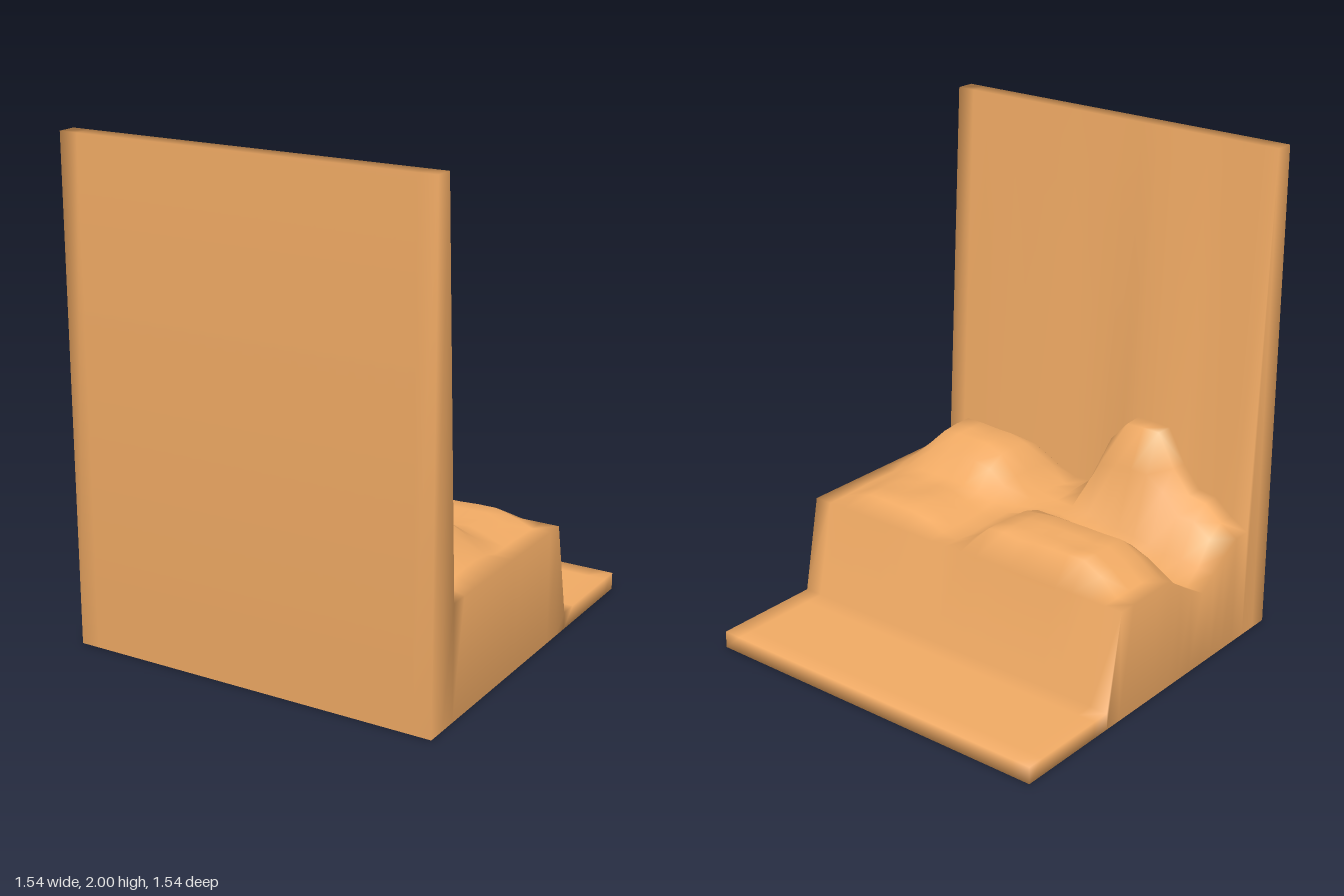
import * as THREE from 'three';
import { mergeVertices } from 'three/addons/utils/BufferGeometryUtils.js';

const SIZE = 1.54, CELLS = 20;
const PLATE = 0.07, GROUND = 0.46, WALL = 2;

// Flat-topped hills: centre, top radii, height and width of the slope
const hills = [
  { x: -0.33, z: -0.03, rx: 0.24, rz: 0.14, top: 0.565, slope: 0.12 },
  { x: 0.40, z: 0.385, rx: 0.14, rz: 0.10, top: 0.65, slope: 0.19 },
  { x: -0.30, z: 0.60, rx: 0.11, rz: 0.08, top: 0.81, slope: 0.14 },
  { x: 0.42, z: 0.00, rx: 0.13, rz: 0.14, top: 0.52, slope: 0.16 },
  { x: -0.52, z: 0.58, rx: 0.08, rz: 0.06, top: 0.58, slope: 0.15 },
];

// Height of the terrain shelf between the wall and the plate
function terrain(x, z) {
  // shallow valley between the hills, opening towards -x
  const across = 1 - Math.min(1, Math.abs(z - 0.30) / 0.22);
  const along = THREE.MathUtils.smoothstep(-x, -0.05, 0.6);
  let h = GROUND - 0.15 * across * along;
  for (const b of hills) {
    const d = Math.hypot(
      Math.max(0, Math.abs(x - b.x) - b.rx),
      Math.max(0, Math.abs(z - b.z) - b.rz));
    const k = Math.max(0, 1 - d / b.slope);
    h = Math.max(h, h + (b.top - h) * k);
  }
  // gentle roughness
  const rough = 0.012 * Math.sin(x * 17 + z * 5) * Math.sin(z * 15 - x * 4);
  const edge = Math.min(1, (0.77 - Math.abs(x)) / 0.15);
  return h + Math.min(0, rough) * edge;
}

// Full profile along z: wall, terrain shelf, low plate
function height(x, z) {
  if (z > 0.66) return WALL;
  if (z < -0.27) return PLATE;
  if (z < -0.2) return GROUND;
  return terrain(x, z);
}

export function createModel() {
  const group = new THREE.Group();
  group.name = 'terrainStand';

  // A gridded slab whose upper vertices are lifted to the height profile
  let geo = new THREE.BoxGeometry(SIZE, 1, SIZE, CELLS, 1, CELLS);
  const p = geo.attributes.position;
  for (let i = 0; i < p.count; i++) {
    p.setY(i, p.getY(i) > 0 ? height(p.getX(i), p.getZ(i)) : 0);
  }

  // Weld the faces for continuous smooth shading
  geo.deleteAttribute('normal');
  geo.deleteAttribute('uv');
  geo = mergeVertices(geo, 1e-4);
  geo.computeVertexNormals();

  const mesh = new THREE.Mesh(geo, new THREE.MeshStandardMaterial({ color: 0xf0aa64 }));
  mesh.name = 'terrainWithWallAndPlate';
  group.add(mesh);
  return group;
}
